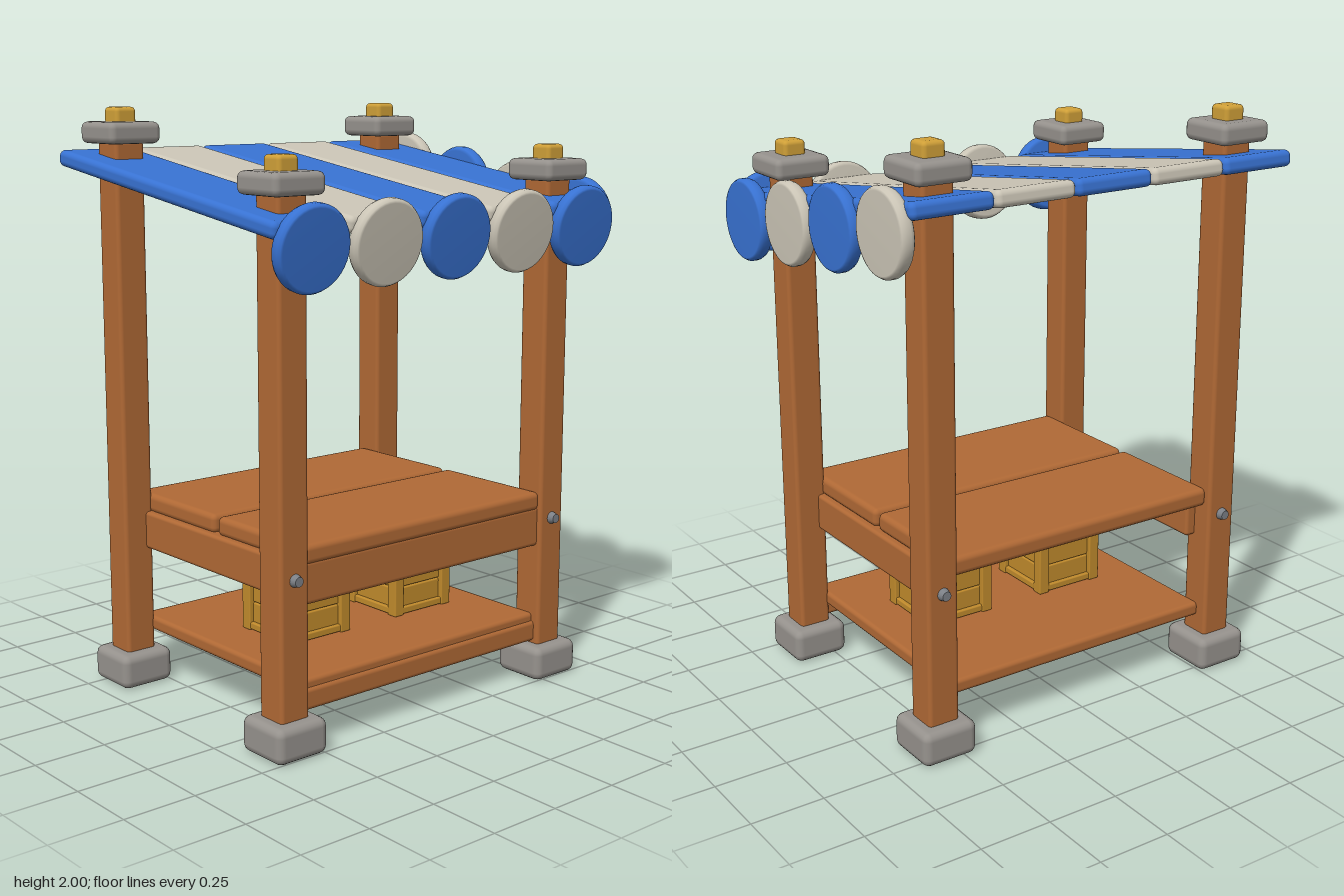
import * as THREE from 'three';
import { RoundedBoxGeometry } from 'three/addons/geometries/RoundedBoxGeometry.js';

const mat = (name, color) => {
  const m = new THREE.MeshStandardMaterial({ color });
  m.name = name;
  return m;
};

export function createModel() {
  const root = new THREE.Group();
  root.name = 'marketStall';
  const wood = mat('wood', 0xb06935);
  const blue = mat('blue cloth', 0x3872d2);
  const cream = mat('cream cloth', 0xcbc5b6);
  const stone = mat('stone', 0x96928d);
  const gold = mat('gold', 0xd0a038);
  const crateWood = mat('crate wood', 0xc08a2c);
  const iron = mat('iron', 0x7c8086);

  function add(parent, name, geometry, material, x, y, z) {
    const m = new THREE.Mesh(geometry, material);
    m.name = name;
    m.position.set(x, y, z);
    parent.add(m);
    return m;
  }
  // Soft-edged block given by its minimum and maximum corners
  function block(parent, name, material, [x0, y0, z0], [x1, y1, z1], r = 0.012) {
    return add(parent, name, new RoundedBoxGeometry(x1 - x0, y1 - y0, z1 - z0, 2, r),
      material, (x0 + x1) / 2, (y0 + y1) / 2, (z0 + z1) / 2);
  }
  function centred(parent, name, material, x, z, w, y0, y1, r) {
    return block(parent, name, material, [x - w / 2, y0, z - w / 2], [x + w / 2, y1, z + w / 2], r);
  }

  // Corner posts with stone feet, stone caps, gold pegs and bolts
  const boltGeo = new THREE.CylinderGeometry(0.016, 0.022, 0.024, 16).rotateX(Math.PI / 2);
  for (const x of [-0.593, 0.557]) {
    for (const [z, cap] of [[0.415, 1.755], [-0.447, 1.88]]) {
      const corner = new THREE.Group();
      corner.name = 'cornerPost';
      root.add(corner);
      centred(corner, 'foot', stone, x, z, 0.2, 0.005, 0.125, 0.028);
      centred(corner, 'post', wood, x, z, 0.113, 0.115, cap + 0.01, 0.014);
      centred(corner, 'cap', stone, x, z, 0.198, cap, cap + 0.072, 0.022);
      centred(corner, 'peg', gold, x, z, 0.08, cap + 0.06, cap + 0.12, 0.015);
      const side = Math.sign(z);
      const bolt = add(corner, 'bolt', boltGeo, iron, x, 0.58, z + side * 0.066);
      if (side < 0) bolt.rotation.y = Math.PI;
    }
  }

  // Counter top and its rails
  block(root, 'counterFront', wood, [-0.545, 0.612, -0.003], [0.51, 0.678, 0.46], 0.02);
  block(root, 'counterBack', wood, [-0.545, 0.612, -0.48], [0.51, 0.678, -0.02], 0.02);
  block(root, 'frontRail', wood, [-0.56, 0.483, 0.37], [0.525, 0.625, 0.455], 0.015);
  for (const x of [-0.565, 0.465]) {
    block(root, 'sideRail', wood, [x, 0.488, -0.43], [x + 0.065, 0.618, 0.41]);
  }

  // Lower shelf
  block(root, 'shelf', wood, [-0.545, 0.185, -0.46], [0.51, 0.235, 0.44], 0.015);
  block(root, 'shelfRail', wood, [-0.56, 0.133, 0.38], [0.525, 0.207, 0.45], 0.015);

  // Slatted crates
  for (const x of [-0.243, 0.228]) {
    const crate = new THREE.Group();
    crate.name = 'crate';
    crate.position.set(x, 0.235, 0.037);
    root.add(crate);
    for (const sx of [-1, 1]) for (const sz of [-1, 1]) {
      centred(crate, 'crateCorner', crateWood, sx * 0.111, sz * 0.111, 0.042, 0, 0.265, 0.005);
    }
    for (let side = 0; side < 4; side++) {
      const wall = new THREE.Group();
      wall.name = 'crateWall';
      wall.rotation.y = side * Math.PI / 2;
      crate.add(wall);
      for (let i = 0; i < 3; i++) {
        const y = 0.025 + i * 0.074;
        block(wall, 'crateSlat', crateWood, [-0.1, y, 0.095], [0.1, y + 0.071, 0.115], 0.005);
      }
      block(wall, 'crateSill', crateWood, [-0.11, 0.003, 0.1], [0.11, 0.028, 0.128], 0.005);
      block(wall, 'crateRim', crateWood, [-0.11, 0.235, 0.1], [0.11, 0.262, 0.128], 0.005);
    }
    block(crate, 'crateFloor', crateWood, [-0.11, 0.004, -0.11], [0.11, 0.025, 0.11], 0.004);
  }

  // Striped roof, sloping down to the front, each strip a little narrower there
  const slope = 0.145;
  const tilt = Math.atan(slope);
  const roofY = z => 1.745 - slope * z;
  const stripGeo = new RoundedBoxGeometry(0.288, 0.055, 1.175, 3, 0.02);
  const p = stripGeo.attributes.position;
  for (let i = 0; i < p.count; i++) {
    p.setX(i, p.getX(i) * (1 - 0.045 * (p.getZ(i) / 1.175 + 0.5)));
  }

  // Round valance flap, facing +z
  const flapGeo = new THREE.LatheGeometry([
    [0, -0.025], [0.122, -0.025], [0.132, -0.018], [0.137, -0.006],
    [0.137, 0.012], [0.131, 0.022], [0.124, 0.025], [0, 0.025],
  ].map(([r, y]) => new THREE.Vector2(r, y)), 40).rotateX(Math.PI / 2);

  for (let i = 0; i < 5; i++) {
    const cloth = i % 2 ? cream : blue;
    const x = -0.599 + i * 0.2915;
    add(root, 'roofStrip', stripGeo, cloth, x, roofY(-0.022), -0.022).rotation.x = tilt;
    add(root, 'frontFlap', flapGeo, cloth, x, 1.608, 0.562).rotation.x = tilt;
  }

  // Flaps along the left side
  for (let i = 0; i < 4; i++) {
    const z = 0.42 - i * 0.295;
    add(root, 'sideFlap', flapGeo, i % 2 ? cream : blue, 0.715, 1.622 + i * 0.042, z)
      .rotation.y = Math.PI / 2;
  }
  return root;
}
